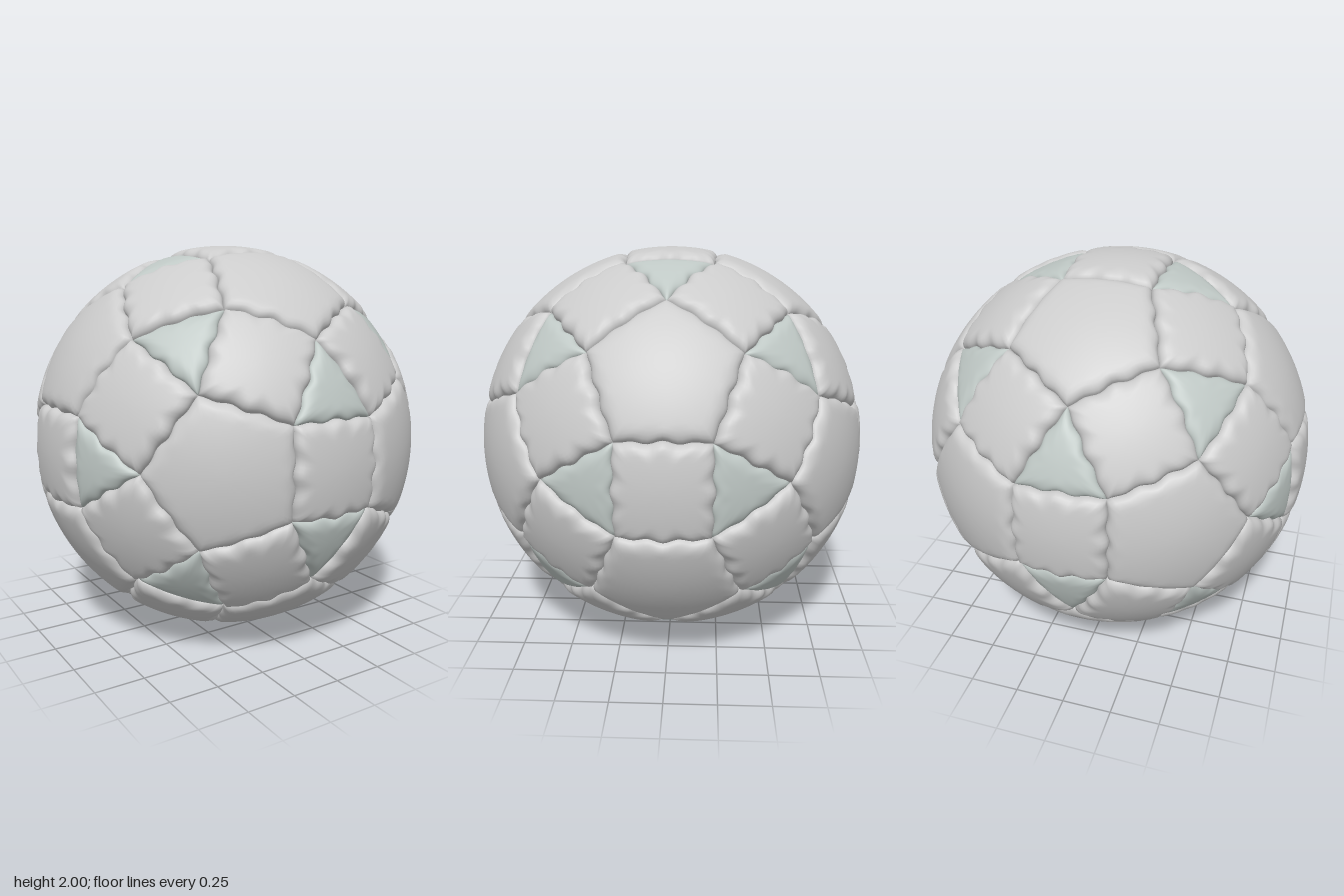
import * as THREE from 'three';
import { mergeVertices } from 'three/addons/utils/BufferGeometryUtils.js';

const PHI = (1 + Math.sqrt(5)) / 2;
const SEAM = 0.955;   // radius at the bottom of the seams
const ALONG = 20;     // steps along each tile edge
const INWARD = 12;    // steps from tile centre to edge

// All sign changes and cyclic shifts of (a, b, c), as unit directions
function directions(...triples) {
  const found = new Map();
  for (const t of triples) {
    for (let shift = 0; shift < 3; shift++) {
      for (let s = 0; s < 8; s++) {
        const p = [0, 1, 2].map((i) => t[(i + shift) % 3] * (s & (1 << i) ? -1 : 1));
        const v = new THREE.Vector3(...p).normalize();
        found.set(v.toArray().map((n) => Math.round(n * 1000) + 0).join(), v);
      }
    }
  }
  return [...found.values()];
}

// The nearest n corners around a tile centre, ordered counter-clockwise from outside
function tileCorners(centre, corners, n) {
  const near = [...corners].sort((a, b) => b.dot(centre) - a.dot(centre)).slice(0, n);
  const u = near[0].clone().addScaledVector(centre, -near[0].dot(centre)).normalize();
  const v = centre.clone().cross(u);
  return near.sort((a, b) => Math.atan2(a.dot(v), a.dot(u)) - Math.atan2(b.dot(v), b.dot(u)));
}

// Puffed cushion tile: sectors around the centre, rounded down to a puckered wavy seam
function cushion(centre, corners, top, seamSide) {
  const positions = [], index = [];
  corners.forEach((a, k) => {
    const b = corners[(k + 1) % corners.length];
    const outward = b.clone().cross(a).normalize();
    const inradius = Math.asin(-outward.dot(centre));
    const base = positions.length / 3;
    for (let j = 0; j <= INWARD; j++) {
      const q = 1 - j / INWARD;
      const s = 1 - Math.pow(q, 1.9);            // rows crowd towards the seam
      for (let i = 0; i <= ALONG; i++) {
        const t = i / ALONG;
        const arch = Math.sin(Math.PI * t);
        const wave = Math.cos(6 * Math.PI * t);
        const edge = a.clone().lerp(b, t).normalize()
          .addScaledVector(outward, seamSide * 0.009 * arch * (0.3 - wave));
        const p = centre.clone().lerp(edge, s).normalize();
        const bevel = 0.062 * (1 + 0.3 * arch * wave);
        const d = Math.min(1, (1 - s) * inradius / bevel);
        const rise = Math.sqrt(1 - (1 - d) ** 2);
        p.multiplyScalar(SEAM + (top - SEAM) * rise);
        positions.push(p.x, p.y, p.z);
        if (i < ALONG && j < INWARD) {
          const m = base + j * (ALONG + 1) + i, n = m + ALONG + 1;
          if (j > 0) index.push(m, n, m + 1);
          index.push(m + 1, n, n + 1);
        }
      }
    }
  });
  let geometry = new THREE.BufferGeometry();
  geometry.setAttribute('position', new THREE.Float32BufferAttribute(positions, 3));
  geometry.setIndex(index);
  geometry = mergeVertices(geometry, 1e-5);
  geometry.computeVertexNormals();
  return geometry;
}

export function createModel() {
  const ball = new THREE.Group();
  ball.name = 'panelBall';
  const P2 = PHI * PHI;
  const corners = directions([1, 1, PHI * P2], [P2, PHI, 2 * PHI], [2 + PHI, 0, P2]);
  const plain = new THREE.MeshStandardMaterial({ color: 0xcccccc });
  const cool = new THREE.MeshStandardMaterial({ color: 0xbfc8c5 });

  // Square, pentagonal and triangular tiles
  const kinds = [
    { name: 'squareTile', sides: 4, top: 1, seamSide: 1, material: plain,
      centres: directions([1, 0, 0], [1, PHI, P2]) },
    { name: 'pentagonTile', sides: 5, top: 1, seamSide: -1, material: plain,
      centres: directions([1, 0, PHI]) },
    { name: 'triangleTile', sides: 3, top: 0.985, seamSide: -1, material: cool,
      centres: directions([1, 1, 1], [0, 1 / PHI, PHI]) },
  ];
  for (const kind of kinds) {
    const set = new THREE.Group();
    set.name = kind.name + 's';
    for (const centre of kind.centres) {
      const ring = tileCorners(centre, corners, kind.sides);
      const tile = new THREE.Mesh(cushion(centre, ring, kind.top, kind.seamSide), kind.material);
      tile.name = kind.name;
      set.add(tile);
    }
    ball.add(set);
  }
  ball.position.y = 1;

  const model = new THREE.Group();
  model.name = 'ball';
  model.add(ball);
  return model;
}
